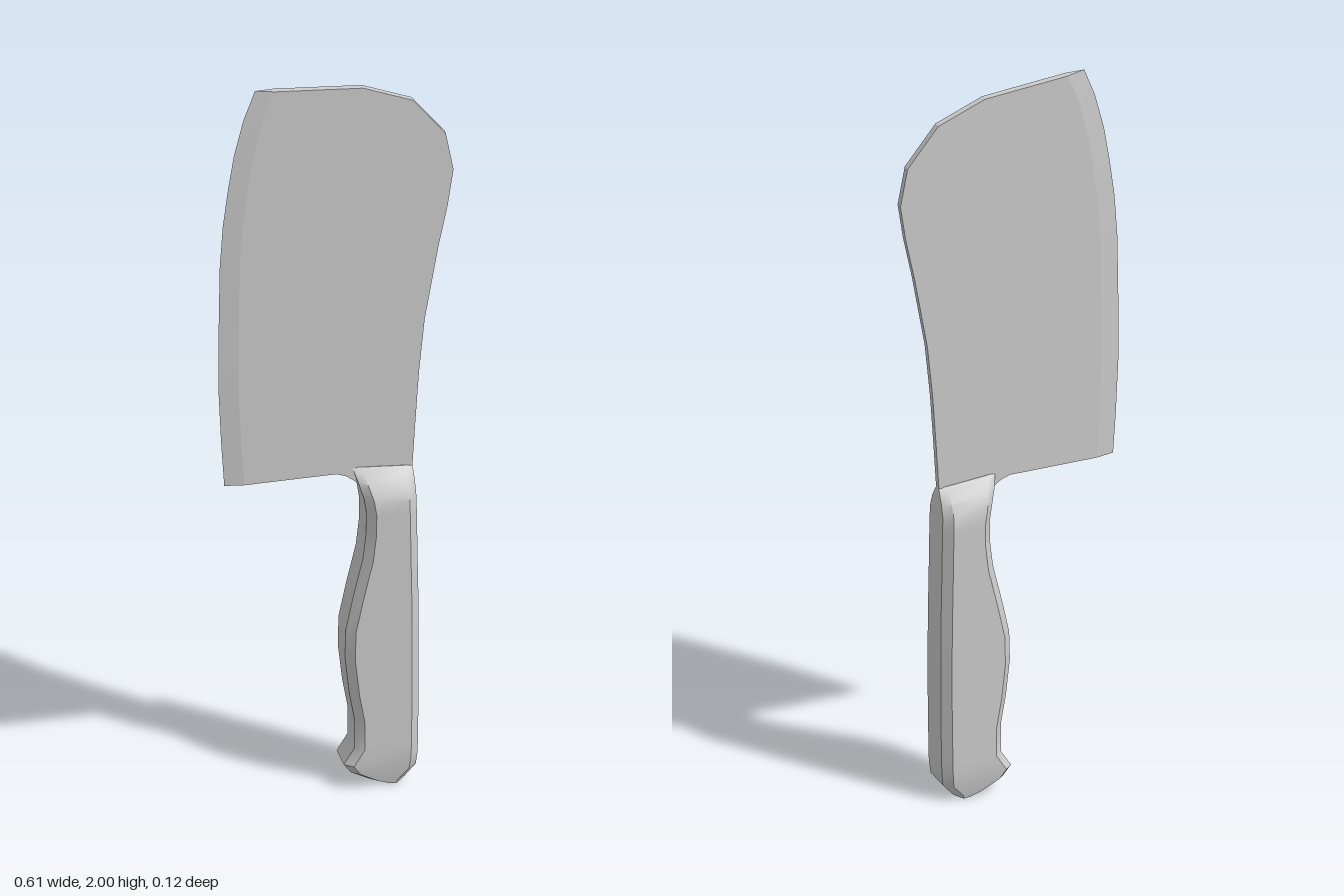
import * as THREE from 'three';
import { toCreasedNormals } from 'three/addons/utils/BufferGeometryUtils.js';

const material = new THREE.MeshStandardMaterial({ color: 0xcccccc });

// Joins closed rings of [x, y, z] points, bottom to top, and caps both ends.
function loft(rings, crease) {
  const n = rings[0].length;
  const last = (rings.length - 1) * n;
  const index = [];
  for (let i = 0; i < last; i += n) {
    for (let j = 0; j < n; j++) {
      const k = (j + 1) % n;
      index.push(i + j, i + k, i + n + k, i + j, i + n + k, i + n + j);
    }
  }
  for (let j = 1; j < n - 1; j++) {
    index.push(0, j + 1, j, last, last + j, last + j + 1);
  }
  const geometry = new THREE.BufferGeometry();
  geometry.setAttribute('position', new THREE.Float32BufferAttribute(rings.flat(2), 3));
  geometry.setIndex(index);
  return toCreasedNormals(geometry, crease);
}

// Point at distance d from (lx, ly) towards (rx, ry), at depth z.
function along([lx, ly, rx, ry], d, z) {
  const t = d / Math.hypot(rx - lx, ry - ly);
  return [lx + (rx - lx) * t, ly + (ry - ly) * t, z];
}

function part(name, geometry) {
  const mesh = new THREE.Mesh(geometry, material);
  mesh.name = name;
  return mesh;
}

// Blade: sharp edge on the left, flat spine on the right.
function createBlade() {
  const half = 0.009, bevel = 0.05;
  // edge x, edge y, spine x, spine y
  const sections = [
    [-0.29, 0.878, 0.198, 0.885], [-0.298, 1.0, 0.205, 1.0],
    [-0.305, 1.15, 0.215, 1.15], [-0.305, 1.3, 0.23, 1.3],
    [-0.302, 1.5, 0.265, 1.5], [-0.294, 1.62, 0.29, 1.62],
    [-0.281, 1.72, 0.305, 1.72], [-0.265, 1.82, 0.285, 1.825],
    [-0.24, 1.92, 0.2, 1.93], [-0.21, 2.0, 0.07, 1.98],
  ];
  const rings = sections.map((s) => [
    [s[0], s[1], 0], along(s, bevel, half),
    [s[2], s[3], half], [s[2], s[3], -half], along(s, bevel, -half),
  ]);
  return part('blade', loft(rings, 0.08));
}

// Small heel where the blade runs into the handle.
function createHeel() {
  const shape = new THREE.Shape([
    [-0.01, 0.885], [0.025, 0.873], [0.05, 0.855], [0.19, 0.85], [0.19, 0.9], [-0.01, 0.9],
  ].map(([x, y]) => new THREE.Vector2(x, y)));
  const geometry = new THREE.ExtrudeGeometry(shape, { depth: 0.016, bevelEnabled: false });
  return part('bladeHeel', geometry.translate(0, 0, -0.008));
}

// Handle: chamfered grip with a finger swell, a hooked butt and a tapered collar.
function createHandle() {
  // left x, left y, right x, right y, half thickness
  const sections = [
    [0.12, 0.004, 0.155, 0.0, 0.05], [0.075, 0.016, 0.172, 0.012, 0.053],
    [0.03, 0.04, 0.2, 0.045, 0.058], [0.012, 0.065, 0.204, 0.08, 0.0625],
    [0.04, 0.11, 0.205, 0.12, 0.0625], [0.04, 0.19, 0.206, 0.19, 0.0625],
    [0.026, 0.27, 0.207, 0.27, 0.0625], [0.015, 0.37, 0.207, 0.37, 0.0625],
    [0.017, 0.45, 0.207, 0.45, 0.0625], [0.036, 0.54, 0.206, 0.54, 0.0625],
    [0.062, 0.65, 0.204, 0.65, 0.0625], [0.07, 0.72, 0.203, 0.72, 0.0625],
    [0.071, 0.78, 0.202, 0.775, 0.0625], [0.065, 0.82, 0.201, 0.815, 0.0615],
    [0.053, 0.86, 0.2, 0.85, 0.044], [0.045, 0.885, 0.199, 0.875, 0.022],
    [0.041, 0.897, 0.198, 0.886, 0.01],
  ];
  const rings = sections.map((s) => {
    const width = Math.hypot(s[2] - s[0], s[3] - s[1]);
    const chamfer = Math.min(0.022, width * 0.25);
    const front = [
      along(s, 0, s[4] * 0.65), along(s, chamfer, s[4]),
      along(s, width - chamfer, s[4]), along(s, width, s[4] * 0.65),
    ];
    const back = front.map(([x, y, z]) => [x, y, -z]).reverse();
    return [...front, ...back];
  });
  return part('handle', loft(rings, 0.6));
}

export function createModel() {
  const group = new THREE.Group();
  group.name = 'cleaver';
  group.add(createBlade(), createHeel(), createHandle());
  return group;
}
